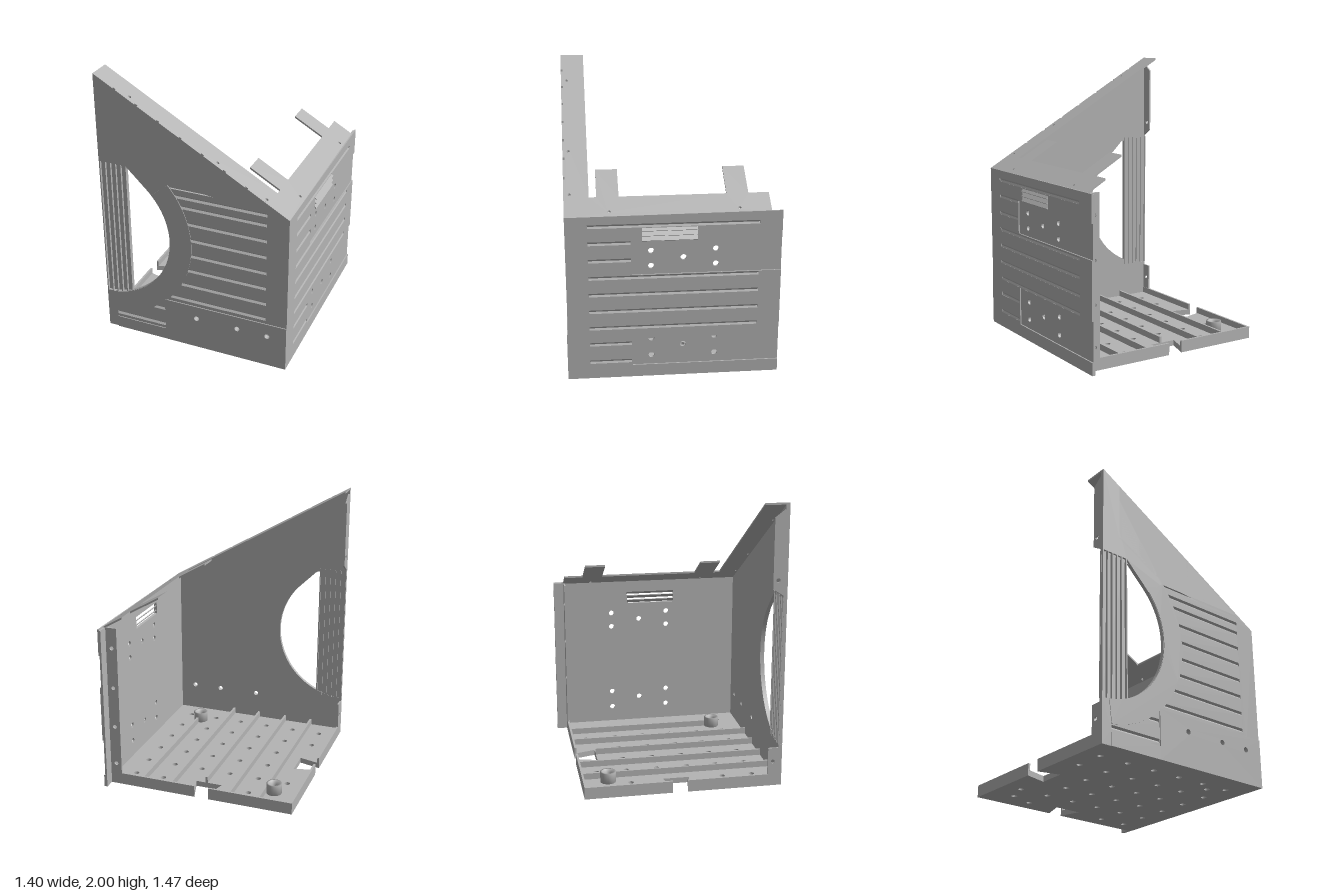
import * as THREE from 'three';

const steel = new THREE.MeshStandardMaterial({ color: 0xb4b4b4 });
steel.name = 'plain grey';

const poly = (pts) => new THREE.Shape(pts.map(([x, y]) => new THREE.Vector2(x, y)));
const rect = (x0, y0, x1, y1) => poly([[x0, y0], [x1, y0], [x1, y1], [x0, y1]]);
const disc = (x, y, r) => new THREE.Shape().absarc(x, y, r, 0, Math.PI * 2, false);
const roof = (x) => 1.6 - 0.5755 * x; // height of the sloping top edge

// Flat sheet: 'z' faces the front, 'x' is drawn in (-z, y), 'y' in (x, -z)
function sheet(name, shape, holes, from, to, axis = 'z') {
  shape.holes = holes;
  const g = new THREE.ExtrudeGeometry(shape, { depth: to - from, bevelEnabled: false, curveSegments: 32 });
  g.translate(0, 0, from);
  if (axis === 'x') g.rotateY(Math.PI / 2);
  if (axis === 'y') g.rotateX(-Math.PI / 2);
  const m = new THREE.Mesh(g, steel);
  m.name = name;
  return m;
}

function box(name, x0, x1, y0, y1, z0, z1) {
  const m = new THREE.Mesh(new THREE.BoxGeometry(x1 - x0, y1 - y0, z1 - z0), steel);
  m.position.set((x0 + x1) / 2, (y0 + y1) / 2, (z0 + z1) / 2);
  m.name = name;
  return m;
}

const H = 0.013; // half height of a pressed groove
// V-notched strip lying in a groove slot, running along +x from the origin
function grooveStrip(length, depth) {
  const s = poly([[0, -H], [depth, -H], [0.001, 0], [depth, H], [0, H]]);
  const g = new THREE.ExtrudeGeometry(s, { depth: length, bevelEnabled: false });
  g.rotateY(-Math.PI / 2); // profile x -> +z, extrusion -> -x
  g.translate(length, 0, 0);
  const m = new THREE.Mesh(g, steel);
  m.name = 'pressedGroove';
  return m;
}

function frontPanel() {
  const p = new THREE.Group();
  p.name = 'frontPanel';
  const cx = -0.7, cy = 0.83, rOut = 0.69;
  const outline = (notches) => {
    const s = new THREE.Shape();
    s.moveTo(-0.695, 2);
    for (const [x, yb] of notches) {
      s.lineTo(x - 0.01, roof(x - 0.01));
      s.lineTo(x - 0.01, yb);
      s.lineTo(x + 0.01, yb);
      s.lineTo(x + 0.01, roof(x + 0.01));
    }
    s.lineTo(0.695, 1.2);
    s.lineTo(0.695, 0);
    s.lineTo(-0.695, 0);
    s.lineTo(-0.695, 0.305);
    s.absarc(cx, cy, 0.525, -Math.PI / 2 + 0.01, Math.PI / 4, false);
    s.lineTo(-0.49, 1.36);
    s.lineTo(-0.695, 1.36);
    return s;
  };
  const bolts = () => [0.02, 0.33, 0.555].map((x) => disc(x, 0.245, 0.019));
  // Horizontal grooves begin at the ring around the round opening
  const grooves = [1.205, 1.13, 1.008, 0.883, 0.757, 0.633, 0.508, 0.383].map((y) =>
    [y, cx + Math.sqrt(rOut * rOut - (y - cy) ** 2) - 0.005, 0.54]);
  grooves.push([0.26, -0.315, -0.23], [0.125, -0.62, -0.23]);
  const slots = grooves.map(([y, a, b]) => rect(a, y - H, b, y + H));
  slots.push(rect(-0.17, 1.258, 0.53, 1.275));
  const ribs = [[-0.545, 1.5], [-0.39, 1.44], [-0.235, 1.33], [-0.075, 1.285],
    [0.08, 1.285], [0.235, 1.285], [0.39, 1.285]];
  p.add(sheet('frontInnerSheet', outline([]), bolts(), 0.703, 0.717));
  p.add(sheet('frontOuterSheet', outline(ribs), [...bolts(), ...slots], 0.717, 0.73));
  for (const [y, a, b] of grooves) {
    const g = grooveStrip(b - a, 0.012);
    g.position.set(a, y, 0.7172);
    p.add(g);
  }
  // Raised ring round the opening
  const ring = new THREE.Shape();
  ring.absarc(cx, cy, rOut, -1.455, 0.71, false);
  ring.absarc(cx, cy, 0.527, 0.71, -1.455, true);
  p.add(sheet('openingRing', ring, [], 0.73, 0.734));
  // Lower plates
  p.add(sheet('lowerFrontPlate', rect(-0.225, 0, 0.695, 0.345), bolts(), 0.73, 0.737));
  p.add(box('lowerCornerPlate', -0.62, -0.225, 0, 0.09, 0.73, 0.736));
  // Finned strip across the left of the opening
  p.add(box('finBacking', -0.695, -0.49, 0.3, 1.365, 0.706, 0.712));
  for (let i = 0; i < 6; i++) {
    const x = -0.69 + i * 0.0395;
    p.add(box('fin', x - 0.004, x + 0.004, 0.305, 1.36, 0.698, 0.73));
  }
  // Folded side tabs
  p.add(sheet('upperSideTab', poly([[-0.71, 1.37], [-0.63, 1.42], [-0.63, 1.9], [-0.71, 1.96]]),
    [1.48, 1.84].map((y) => disc(-0.665, y, 0.014)), -0.695, -0.683, 'x'));
  p.add(sheet('lowerSideTab', rect(-0.71, 0.08, -0.63, 0.28),
    [disc(-0.665, 0.18, 0.014)], -0.695, -0.683, 'x'));
  return p;
}

function sidePanel() {
  const p = new THREE.Group();
  p.name = 'sidePanel';
  const bolts = [];
  for (const y of [0.89, 0.235]) {
    bolts.push(disc(0.065, y, 0.02));
    for (const z of [0.155, -0.285]) for (const d of [0.055, -0.075])
      bolts.push(disc(-z, y + (y > 0.5 ? Math.sign(d) * 0.055 : d), 0.02));
  }
  const vent = () => rect(-0.215, 1.02, 0.16, 1.112);
  p.add(sheet('sideInnerSheet', rect(-0.703, 0, 0.735, 1.2), [...bolts, vent()], 0.672, 0.686, 'x'));
  // Outer sheet leaves two recessed bays open toward the back
  const outer = poly([[-0.73, 0], [0.735, 0], [0.735, 0.09], [-0.285, 0.09], [-0.285, 0.368],
    [0.735, 0.368], [0.735, 0.774], [-0.285, 0.774], [-0.285, 1.014], [0.735, 1.014],
    [0.735, 1.207], [-0.73, 1.2]]);
  const grooves = [1.13, 0.757, 0.633, 0.508, 0.383].map((y) => [y, -0.58]);
  for (const y of [1.008, 0.883, 0.26, 0.125]) grooves.push([y, 0.292]);
  const slots = grooves.map(([y, z]) => rect(-0.58, y - H, -z, y + H));
  p.add(sheet('sideOuterSheet', outer, [...slots, vent()], 0.686, 0.695, 'x'));
  for (const [y, z] of grooves) {
    const g = grooveStrip(0.58 - z, 0.008);
    g.rotation.y = Math.PI / 2;
    g.position.set(0.6862, y, 0.58);
    p.add(g);
  }
  // Vent louvres sloping down and out
  for (let i = 0; i < 3; i++) {
    const slat = box('ventLouvre', 0.672, 0.71, 0, 0.006, -0.16, 0.215);
    slat.position.y = 1.035 + i * 0.035;
    slat.rotation.z = -0.75;
    p.add(slat);
  }
  // Folded rear lip
  p.add(sheet('rearLip', rect(0.59, 0.08, 0.673, 1.2),
    [0.16, 0.45, 0.75, 1.05].map((y) => disc(0.63, y, 0.015)), -0.66, -0.648));
  return p;
}

function floorTray() {
  const p = new THREE.Group();
  p.name = 'floorTray';
  const s = poly([[-0.695, -0.703], [0.672, -0.703], [0.672, 0.66], [0.025, 0.66], [0.07, 0.505],
    [-0.125, 0.505], [-0.08, 0.66], [-0.695, 0.66], [-0.695, 0.045], [-0.54, 0.09],
    [-0.54, -0.1], [-0.695, -0.06]]);
  const holes = [];
  for (const z of [-0.54, -0.32, -0.1, 0.12, 0.335, 0.55])
    for (const x of [-0.56, -0.34, -0.12, 0.1, 0.315, 0.53]) {
      if (x === -0.56 && (z === -0.54 || Math.abs(z) < 0.2)) continue;
      if (z === -0.54 && Math.abs(x) < 0.2) continue;
      holes.push(disc(x, -z, 0.02));
    }
  const bosses = [[-0.51, -0.475], [0.42, 0.48]];
  for (const [x, z] of bosses) holes.push(disc(x, -z, 0.021));
  p.add(sheet('floorPlate', s, holes, 0, 0.04, 'y'));
  // Stiffening ribs and rims
  for (const x of [-0.45, -0.235, -0.01, 0.205, 0.425])
    p.add(box('floorRib', x - 0.008, x + 0.008, 0.039, 0.085, x === -0.01 ? -0.505 : -0.645, x > 0.4 ? 0.42 : 0.703));
  for (const [a, b] of [[-0.695, -0.08], [0.025, 0.672]])
    p.add(box('backRim', a, b, 0.039, 0.085, -0.66, -0.645));
  for (const [a, b] of [[-0.66, -0.045], [0.06, 0.703]])
    p.add(box('sideRim', -0.695, -0.68, 0.039, 0.085, a, b));
  // Screw bosses with a countersunk top
  const profile = [[0.021, 0.039], [0.055, 0.039], [0.055, 0.115], [0.042, 0.115], [0.021, 0.09], [0.021, 0.039]];
  for (const [x, z] of bosses) {
    const g = new THREE.LatheGeometry(profile.map(([r, y]) => new THREE.Vector2(r, y)), 32);
    const m = new THREE.Mesh(g, steel);
    m.name = 'screwBoss';
    m.position.set(x, 0, z);
    p.add(m);
  }
  return p;
}

function slopingFlange() {
  // Flat L-shaped sheet with two tabs, sheared to follow the sloping edge
  const s = poly([[-0.695, -0.717], [0.695, -0.717], [0.695, 0.66], [0.545, 0.66], [0.545, 0.52],
    [0.33, 0.52], [0.33, 0.37], [0.545, 0.37], [0.545, -0.36], [0.33, -0.36], [0.33, -0.51],
    [0.545, -0.51], [0.545, -0.56], [-0.695, -0.56]]);
  const holes = [[-0.45, -0.69], [0.175, -0.69], [0.52, -0.69], [0.658, 0.445], [0.658, -0.43]]
    .map(([x, y]) => disc(x, y, 0.01));
  const m = sheet('slopingFlange', s, holes, -0.014, 0, 'y');
  const pos = m.geometry.attributes.position;
  for (let i = 0; i < pos.count; i++) pos.setY(i, pos.getY(i) + roof(pos.getX(i)));
  m.geometry.computeVertexNormals();
  return m;
}

export function createModel() {
  const model = new THREE.Group();
  model.name = 'enclosure';
  model.add(frontPanel(), sidePanel(), floorTray(), slopingFlange());
  return model;
}
